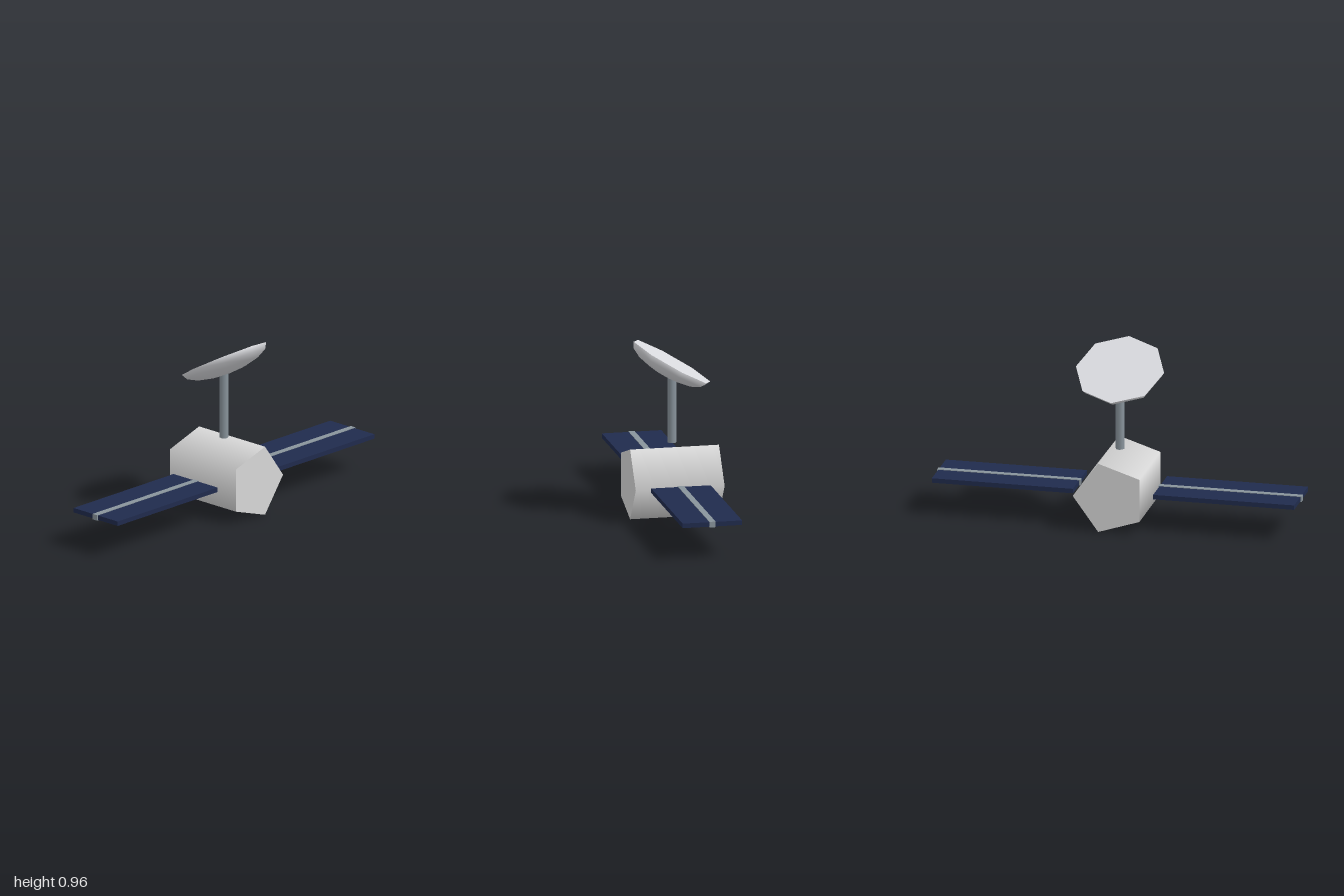
import * as THREE from 'three';

export function createModel() {
  const model = new THREE.Group();
  model.name = 'satellite';

  const material = (name, color) => {
    const m = new THREE.MeshStandardMaterial({ color });
    m.name = name;
    return m;
  };
  const bodyGrey = material('bodyGrey', 0xd8d8d8);
  const dishWhite = material('dishWhite', 0xd9dade);
  const metal = material('metal', 0x89949c);
  const navy = material('panelNavy', 0x202b4d);

  const add = (parent, name, geometry, mat, x = 0, y = 0, z = 0) => {
    const mesh = new THREE.Mesh(geometry, mat);
    mesh.name = name;
    mesh.position.set(x, y, z);
    parent.add(mesh);
    return mesh;
  };

  const midY = 0.193;

  // Five-sided body lying along z, one corner towards +x
  const body = new THREE.CylinderGeometry(0.202, 0.202, 0.486, 5, 1, false, Math.PI / 2);
  body.rotateX(Math.PI / 2);
  add(model, 'body', body, bodyGrey, 0, midY, 0);

  // Solar wings, each a slab with a spar running through it
  for (const [side, label] of [[1, 'left'], [-1, 'right']]) {
    const wing = new THREE.Group();
    wing.name = label + 'Wing';
    wing.position.set(side * 0.607, midY, 0);
    add(wing, label + 'Panel', new THREE.BoxGeometry(0.774, 0.025, 0.325), navy);
    add(wing, label + 'Spar', new THREE.BoxGeometry(0.786, 0.031, 0.033), metal);
    model.add(wing);
  }

  // Mast
  add(model, 'mast', new THREE.CylinderGeometry(0.0235, 0.0235, 0.383, 8), metal, 0, 0.5885, 0);

  // Shallow eight-sided dish, tilted back, closed by a flat face
  const dish = new THREE.Group();
  dish.name = 'dish';
  dish.position.set(0, 0.841, 0);
  dish.rotation.x = -Math.PI / 6;
  const bowl = new THREE.SphereGeometry(0.242, 8, 4, 0, Math.PI * 2, Math.PI / 2, Math.PI / 2);
  bowl.scale(1, 0.35, 1);
  add(dish, 'dishBowl', bowl, dishWhite);
  const face = new THREE.CircleGeometry(0.242, 8);
  face.rotateX(-Math.PI / 2);
  add(dish, 'dishFace', face, dishWhite);
  model.add(dish);

  return model;
}
